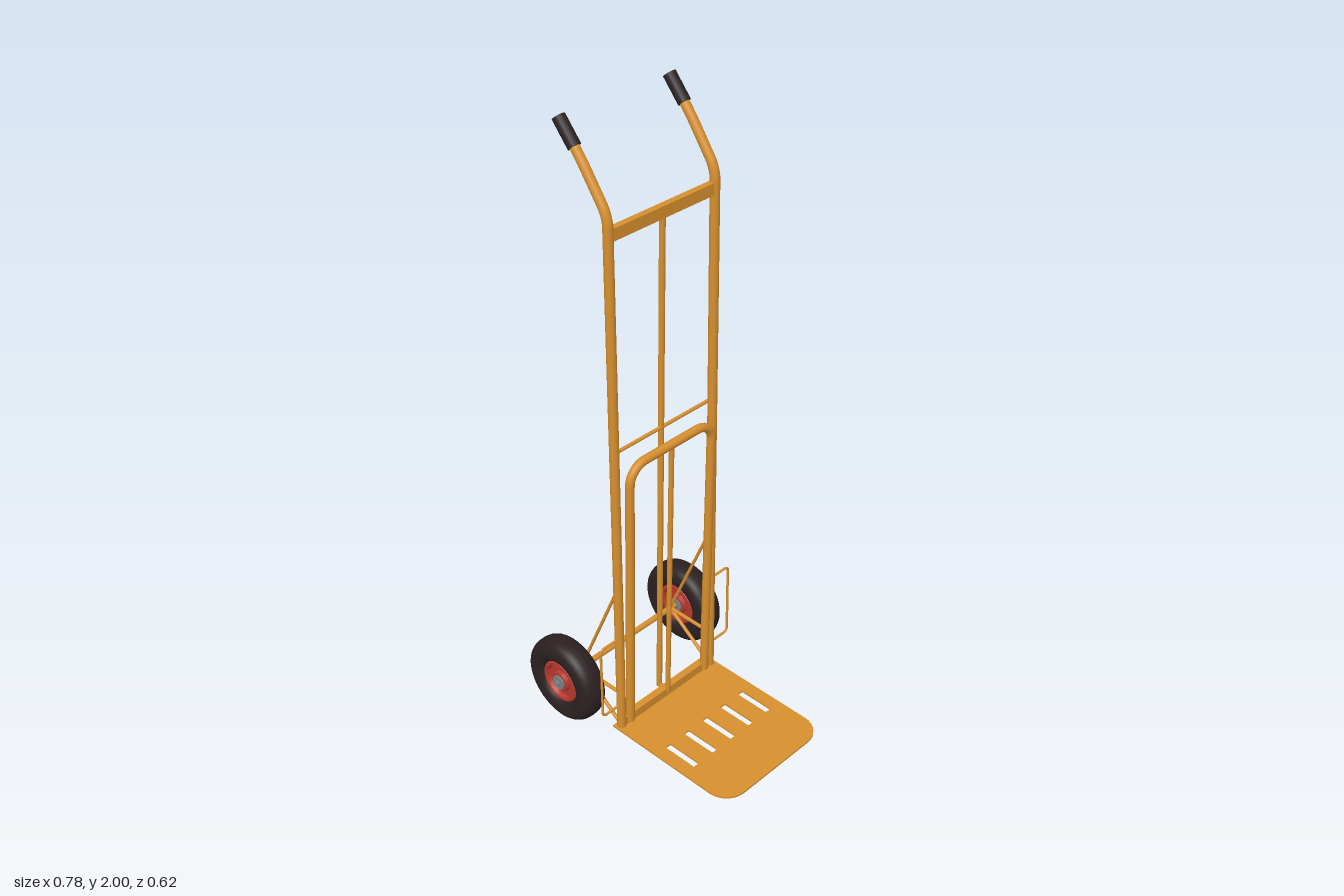
import * as THREE from 'three';
import { toCreasedNormals } from 'three/addons/utils/BufferGeometryUtils.js';

const mat = (name, color) => {
  const m = new THREE.MeshStandardMaterial({ color });
  m.name = name;
  return m;
};
const V = (x, y, z) => new THREE.Vector3(x, y, z);

export function createModel() {
  const orange = mat('orange paint', 0xd68f2e);
  const rubber = mat('black rubber', 0x2b2021);
  const red = mat('red rim', 0xb5382e);
  const steel = mat('grey steel', 0x7b8084);
  const model = new THREE.Group();
  model.name = 'handTruck';

  const add = (name, geometry, material, parent = model) => {
    const mesh = new THREE.Mesh(geometry, material);
    mesh.name = name;
    parent.add(mesh);
    return mesh;
  };
  // Straight round bar between two points
  const bar = (name, a, b, r, material = orange, parent = model) => {
    const mesh = add(name, new THREE.CylinderGeometry(r, r, a.distanceTo(b), 16), material, parent);
    mesh.position.copy(a).add(b).multiplyScalar(0.5);
    mesh.quaternion.setFromUnitVectors(V(0, 1, 0), b.clone().sub(a).normalize());
    return mesh;
  };
  const box = (name, w, h, d, x, y, z) =>
    add(name, new THREE.BoxGeometry(w, h, d), orange).position.set(x, y, z);
  // Tube along straight runs with rounded corners
  const bentTube = (name, pts, bend, r, segments) => {
    const path = new THREE.CurvePath();
    let from = pts[0];
    for (let i = 1; i < pts.length - 1; i++) {
      const p = pts[i];
      const a = p.clone().add(pts[i - 1].clone().sub(p).setLength(bend));
      const b = p.clone().add(pts[i + 1].clone().sub(p).setLength(bend));
      path.add(new THREE.LineCurve3(from, a));
      path.add(new THREE.CubicBezierCurve3(a, a.clone().lerp(p, 0.55), b.clone().lerp(p, 0.55), b));
      from = b;
    }
    path.add(new THREE.LineCurve3(from, pts[pts.length - 1]));
    return add(name, new THREE.TubeGeometry(path, segments, r, 14, false), orange);
  };

  // Toe plate with rounded front corners and five slots
  const plate = new THREE.Shape();
  plate.moveTo(-0.093, -0.22);
  plate.lineTo(0.318, -0.22);
  plate.absarc(0.318, -0.146, 0.074, -Math.PI / 2, 0, false);
  plate.absarc(0.318, 0.146, 0.074, 0, Math.PI / 2, false);
  plate.lineTo(-0.093, 0.22);
  plate.closePath();
  for (let i = -2; i <= 2; i++) {
    const z = i * 0.0825, h = 0.011, c = 0.004;
    const slot = new THREE.Path();
    slot.absarc(0.093 + c, z + h - c, c, Math.PI, Math.PI / 2, true);
    slot.absarc(0.213 - c, z + h - c, c, Math.PI / 2, 0, true);
    slot.absarc(0.213 - c, z - h + c, c, 0, -Math.PI / 2, true);
    slot.absarc(0.093 + c, z - h + c, c, -Math.PI / 2, -Math.PI, true);
    slot.closePath();
    plate.holes.push(slot);
  }
  const plateGeo = new THREE.ExtrudeGeometry(plate, { depth: 0.006, bevelEnabled: false, curveSegments: 12 });
  plateGeo.rotateX(-Math.PI / 2);
  add('toePlate', plateGeo, orange).position.y = 0.008;

  // Cross members between the uprights
  box('topCrossbar', 0.02, 0.036, 0.384, -0.075, 1.712, 0);
  box('bottomCrossbar', 0.024, 0.03, 0.39, -0.077, 0.029, 0);
  bar('middleCrossbar', V(-0.084, 1.03, -0.195), V(-0.084, 1.03, 0.195), 0.0055);
  bar('centreRod', V(-0.076, 1.70, 0), V(-0.106, 0.03, 0), 0.009);
  bar('centreRodFoot', V(-0.112, 0.035, 0), V(-0.075, 0.035, 0), 0.007);

  // Leaning hoop with its own centre bar
  const hoopZ = 0.168;
  bentTube('frontHoop', [V(-0.068, 0.02, -hoopZ), V(-0.046, 0.987, -hoopZ),
    V(-0.046, 0.987, hoopZ), V(-0.068, 0.02, hoopZ)], 0.06, 0.0138, 160);
  bar('hoopCentreBar', V(-0.068, 0.03, 0), V(-0.046, 0.985, 0), 0.008);

  bar('axleTube', V(-0.25, 0.146, -0.22), V(-0.25, 0.146, 0.22), 0.0095);

  // Tyre cross-section, swept around the axle
  const tyreProfile = [];
  for (let i = 0; i <= 28; i++) {
    const t = i / 28 * Math.PI * 2;
    const round = (v) => Math.sign(v) * Math.abs(v) ** 0.8;
    tyreProfile.push(new THREE.Vector2(0.104 + 0.039 * round(Math.cos(t)), 0.044 * round(Math.sin(t))));
  }
  const tyreGeo = new THREE.LatheGeometry(tyreProfile, 48).rotateX(Math.PI / 2);
  const half = [[0.074, 0.026], [0.069, 0.034], [0.06, 0.034], [0.054, 0.022], [0.036, 0.022], [0.032, 0.034], [0, 0.034]];
  const rimProfile = [...half.map(([r, y]) => [r, -y]).reverse(), ...half]
    .map(([r, y]) => new THREE.Vector2(r, y));
  const rimGeo = toCreasedNormals(new THREE.LatheGeometry(rimProfile, 36).rotateX(Math.PI / 2), 0.5);

  for (const s of [-1, 1]) {
    const side = s > 0 ? 'left' : 'right';
    const z = s * 0.2;

    // Upright with swept-back handle and grip
    bentTube(side + 'Upright', [V(-0.074, 0.01, z), V(-0.074, 1.765, z),
      V(-0.165, 1.895, z), V(-0.235, 1.978, z)], 0.03, 0.0145, 240);
    bar(side + 'Grip', V(-0.187, 1.921, z), V(-0.243, 1.987, z), 0.019, rubber);

    // Struts carrying the axle
    bar(side + 'UpperStrut', V(-0.25, 0.15, z), V(-0.08, 0.545, z), 0.005);
    bar(side + 'LowerStrut', V(-0.25, 0.146, z), V(-0.085, 0.022, z), 0.006);
    bar(side + 'MiddleStrut', V(-0.25, 0.146, z), V(-0.08, 0.146, z), 0.006);

    // Wire guard in front of the wheel
    bentTube(side + 'WheelGuard', [V(-0.072, 0.37, z), V(-0.072, 0.37, s * 0.28),
      V(-0.072, 0.105, s * 0.28), V(-0.072, 0.105, z)], 0.015, 0.004, 120);

    // Wheel
    const wheel = new THREE.Group();
    wheel.name = side + 'Wheel';
    wheel.position.set(-0.25, 0.145, s * 0.261);
    model.add(wheel);
    add('tyre', tyreGeo, rubber, wheel);
    add('rim', rimGeo, red, wheel);
    bar('hub', V(0, 0, -0.04), V(0, 0, 0.04), 0.024, steel, wheel);
    bar('axleEnd', V(0, 0, -0.046), V(0, 0, 0.049), 0.01, steel, wheel);
  }
  return model;
}
